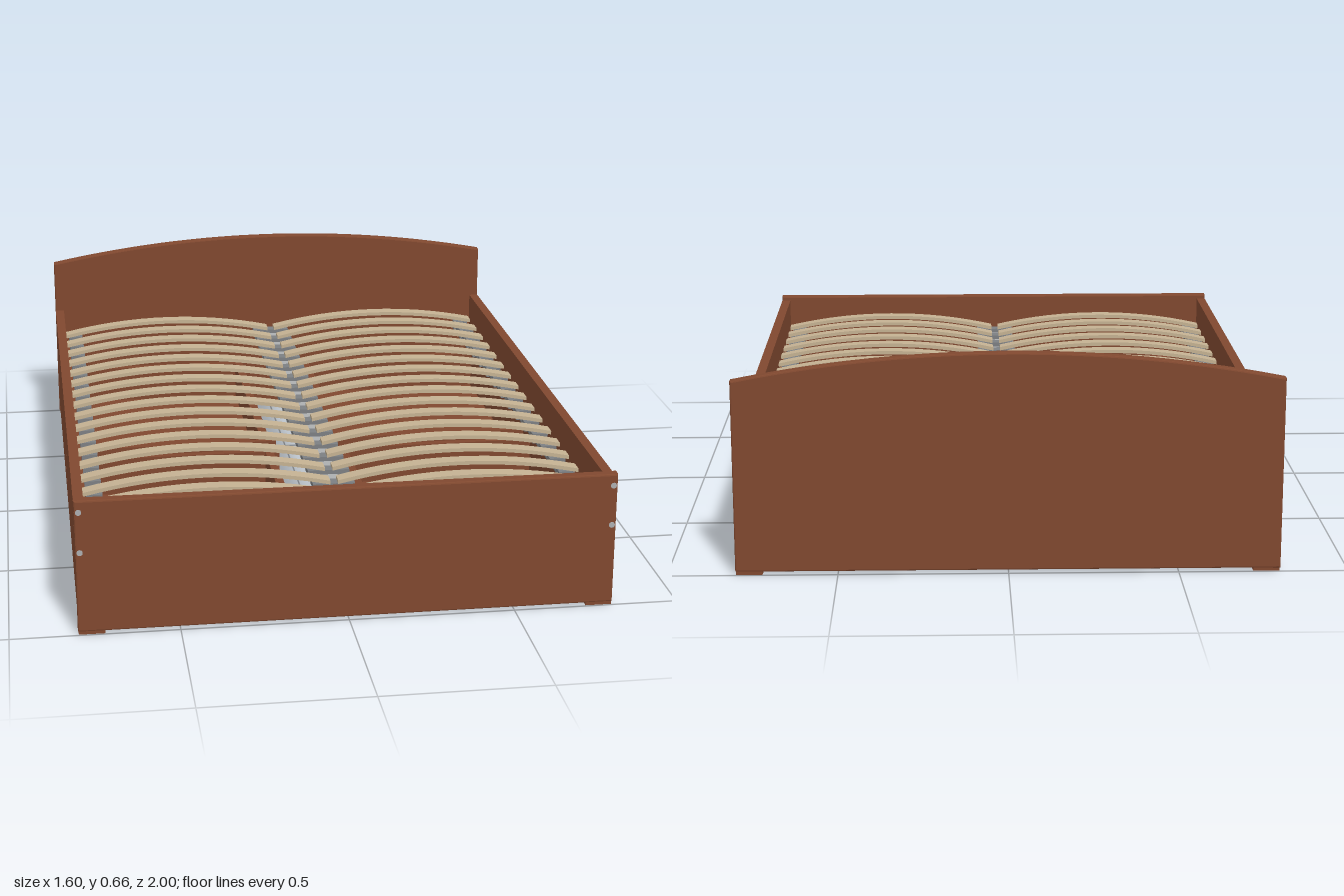
import * as THREE from 'three';

export function createModel() {
  const model = new THREE.Group();
  model.name = 'bed';
  const mat = (name, color) => {
    const m = new THREE.MeshStandardMaterial({ color });
    m.name = name;
    return m;
  };
  const wood = mat('redBrownWood', 0x80482f);
  const birch = mat('paleBirch', 0xc4b192);
  const steel = mat('lightSteel', 0xacaeb0);
  const grey = mat('greyPlastic', 0x7c7f82);

  const add = (name, geo, material, parent = model) => {
    const mesh = new THREE.Mesh(geo, material);
    mesh.name = name;
    parent.add(mesh);
    return mesh;
  };
  // Box given by its limits on each axis
  const box = (name, material, x0, x1, y0, y1, z0, z1, parent = model) => {
    const geo = new THREE.BoxGeometry(Math.abs(x1 - x0), y1 - y0, Math.abs(z1 - z0));
    geo.translate((x0 + x1) / 2, (y0 + y1) / 2, (z0 + z1) / 2);
    return add(name, geo, material, parent);
  };
  const rod = (name, material, x, y, z0, z1, r) => {
    const geo = new THREE.CylinderGeometry(r, r, z1 - z0, 12);
    geo.rotateX(Math.PI / 2).translate(x, y, (z0 + z1) / 2);
    return add(name, geo, material);
  };

  // End boards, with slightly eased edges
  const B = 0.005, T = 0.035;
  const endBoard = (name, topSide, topControl, z) => {
    const w = 0.8 - B;
    const s = new THREE.Shape();
    s.moveTo(-w, 0.01 + B);
    s.lineTo(w, 0.01 + B);
    s.lineTo(w, topSide - B);
    if (topControl > topSide) s.quadraticCurveTo(0, topControl - B, -w, topSide - B);
    else s.lineTo(-w, topSide - B);
    s.closePath();
    const geo = new THREE.ExtrudeGeometry(s, {
      depth: T - 2 * B, bevelThickness: B, bevelSize: B, bevelSegments: 2, curveSegments: 28,
    });
    geo.translate(0, 0, z + B);
    add(name, geo, wood);
  };
  endBoard('headboard', 0.585, 0.743, -1);
  endBoard('footboard', 0.42, 0, 1 - T);

  // Curved slat between two x positions, arched upward
  const slatGeometry = (s) => {
    const x0 = s * 0.012, x1 = s * 0.765, mid = (x0 + x1) / 2;
    const shape = new THREE.Shape();
    shape.moveTo(x0, 0.31);
    shape.quadraticCurveTo(mid, 0.395, x1, 0.31);
    shape.lineTo(x1, 0.322);
    shape.quadraticCurveTo(mid, 0.407, x0, 0.322);
    shape.closePath();
    const geo = new THREE.ExtrudeGeometry(shape, { depth: 0.045, bevelEnabled: false, curveSegments: 16 });
    return geo.translate(0, 0, -0.0225);
  };

  // Drawer face with a finger notch in its top edge, drawn in z and y
  const drawerFace = (s, d) => {
    const shape = new THREE.Shape();
    [[0.008, 0.035], [0.962, 0.035], [0.962, 0.23], [0.727, 0.23], [0.715, 0.21],
      [0.258, 0.21], [0.246, 0.23], [0.008, 0.23]].forEach(([z, y], i) =>
      i ? shape.lineTo(d * z, y) : shape.moveTo(d * z, y));
    shape.closePath();
    const geo = new THREE.ExtrudeGeometry(shape, { depth: 0.03, bevelEnabled: false });
    geo.rotateY(-Math.PI / 2);
    return geo.translate(s > 0 ? 0.798 : -0.768, 0, 0);
  };

  for (const s of [-1, 1]) {
    // Side rail with an inner ledge that carries the slat frame
    box('sideRail', wood, s * 0.77, s * 0.8, 0.24, 0.405, -0.966, 0.966);
    box('railLedge', wood, s * 0.73, s * 0.77, 0.24, 0.28, -0.966, 0.966);
    rod('sideSlatTube', grey, s * 0.717, 0.295, -0.93, 0.88, 0.01);
    rod('centreSlatTube', grey, s * 0.058, 0.295, -0.93, 0.91, 0.007);

    // Floor pads under the end boards
    for (const e of [-1, 1]) {
      box('footPad', wood, s * 0.72, s * 0.798, 0, 0.016, e * 0.97, e * 0.995);
    }

    // Fixing bolts at the corners of the footboard
    for (const y of [0.26, 0.385]) {
      const bolt = new THREE.CylinderGeometry(0.009, 0.009, 0.006, 16);
      bolt.rotateX(Math.PI / 2).translate(s * 0.787, y, 0.999);
      add('bolt', bolt, steel);
    }

    // Two under-bed drawers on each side
    for (const [d, z0, z1] of [[-1, -0.925, -0.042], [1, 0.035, 0.935]]) {
      const drawer = new THREE.Group();
      drawer.name = 'drawer';
      model.add(drawer);
      add('drawerFace', drawerFace(s, d), wood, drawer);
      box('drawerSide', wood, s * 0.09, s * 0.768, 0.04, 0.19, z0, z0 + 0.024, drawer);
      box('drawerSide', wood, s * 0.09, s * 0.768, 0.04, 0.19, z1 - 0.024, z1, drawer);
      box('drawerBack', wood, s * 0.11, s * 0.138, 0.04, 0.19, z0 + 0.024, z1 - 0.024, drawer);
      box('drawerBottom', wood, s * 0.138, s * 0.768, 0.055, 0.065, z0 + 0.024, z1 - 0.024, drawer);
    }
  }

  // Centre beam under the slats
  box('centreBeam', steel, -0.028, 0.028, 0.25, 0.298, -0.966, 0.966);

  // Seventeen rows of paired slats with their holders
  const slats = { '-1': slatGeometry(-1), 1: slatGeometry(1) };
  for (let i = 0; i < 17; i++) {
    const z = -0.94 + i * 0.1147;
    box('centreHolder', grey, -0.065, 0.065, 0.296, 0.312, z - 0.02, z + 0.02);
    for (const s of [-1, 1]) {
      add('slat', slats[s], birch).position.z = z;
      box('sideHolder', grey, s * 0.705, s * 0.755, 0.28, 0.312, z - 0.018, z + 0.018);
    }
  }
  return model;
}
